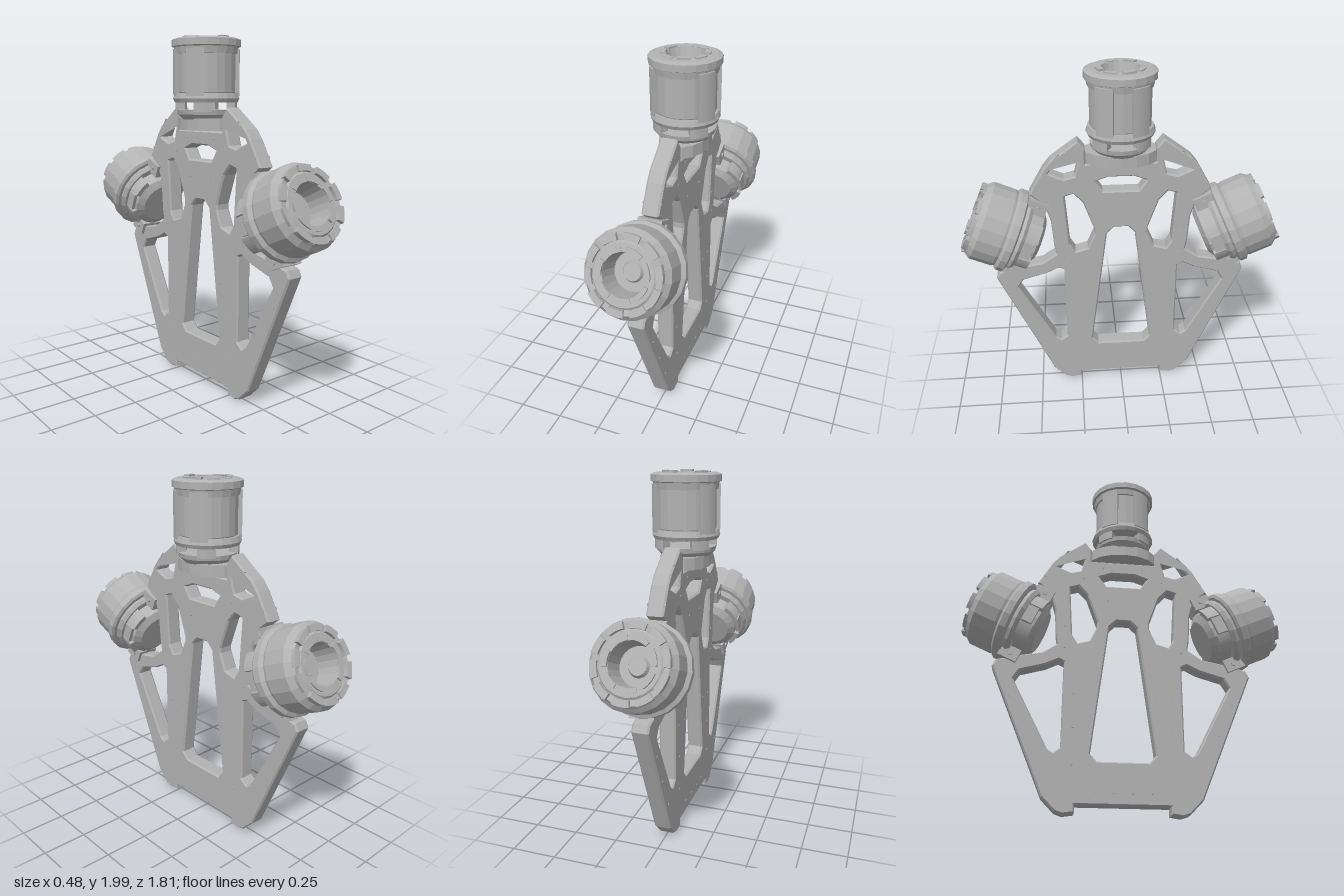
import * as THREE from 'three';

const grey = new THREE.MeshStandardMaterial({ color: 0xb2b2b2, flatShading: true });
grey.name = 'plain grey';

const V = (list) => list.map(([a, b]) => new THREE.Vector2(a, b));
const flip = (list) => list.map(([a, b]) => [-a, b]).reverse();

function add(parent, name, geometry, x = 0, y = 0, z = 0) {
  const mesh = new THREE.Mesh(geometry, grey);
  mesh.name = name;
  mesh.position.set(x, y, z);
  parent.add(mesh);
  return mesh;
}

// Solid of revolution; profile runs from the bottom axis up and round to the top
const lathe = (profile, sides = 20) => new THREE.LatheGeometry(V(profile), sides);

// Curved block between two radii, two heights and two angles (degrees)
function sector(r0, r1, y0, y1, from, to) {
  const a = THREE.MathUtils.degToRad(from), b = THREE.MathUtils.degToRad(to);
  const shape = new THREE.Shape();
  shape.absarc(0, 0, r1, a, b, false);
  shape.absarc(0, 0, r0, b, a, true);
  const g = new THREE.ExtrudeGeometry(shape, { depth: y1 - y0, bevelEnabled: false, curveSegments: 3 });
  return g.rotateX(-Math.PI / 2).translate(0, y0, 0);
}

// Four cage legs, leaving wide openings on z and narrow ones on x
function cageLegs(parent, name, r0, r1, y0, y1, from, to) {
  for (const [a, b] of [[from, to], [180 - to, 180 - from], [180 + from, 180 + to], [360 - to, 360 - from]])
    add(parent, name, sector(r0, r1, y0, y1, a, b));
}

// Raised segments round an end face
function rimSegments(parent, r0, r1, y0, y1, count) {
  for (let i = 0; i < count; i++) {
    const a = (i * 360) / count;
    add(parent, 'rimSegment', sector(r0, r1, y0, y1 - (i % 3) * 0.004, a, a + 260 / count));
  }
}

// Flat plate with lightening holes, drawn in the z-y plane
function makeFrame() {
  const frame = new THREE.Group();
  frame.name = 'frame';
  const half = [
    [0.25, 0.055], [0.25, 0.015], [0.31, 0.006], [0.35, 0.02], [0.42, 0.09],
    [0.72, 0.79], [0.70, 0.83], [0.58, 0.86], [0.45, 0.885], [0.37, 0.94],
    [0.38, 1.0], [0.39, 1.15], [0.41, 1.22], [0.44, 1.27], [0.50, 1.32],
    [0.42, 1.46], [0.38, 1.51], [0.23, 1.62], [0.19, 1.57], [0.19, 1.49],
  ];
  const shape = new THREE.Shape(V([...half, ...flip(half)]));
  const sideHoles = [
    [[0.60, 0.72], [0.40, 0.34], [0.37, 0.32], [0.33, 0.35], [0.33, 0.83], [0.36, 0.845], [0.43, 0.81], [0.57, 0.77]],
    [[0.31, 1.30], [0.26, 1.315], [0.21, 1.26], [0.15, 1.09], [0.15, 1.06], [0.19, 0.97], [0.26, 0.95], [0.29, 1.0]],
    [[0.39, 1.44], [0.33, 1.54], [0.23, 1.50], [0.25, 1.42], [0.31, 1.405]],
  ];
  const middleHoles = [
    [[0.14, 0.28], [0.175, 0.32], [0.08, 1.06], [0.04, 1.10]],
    [[0.10, 1.325], [0.14, 1.385], [0.07, 1.41]],
  ];
  for (const h of sideHoles) shape.holes.push(new THREE.Path(V(h)), new THREE.Path(V(flip(h))));
  for (const h of middleHoles) shape.holes.push(new THREE.Path(V([...h, ...flip(h)])));
  const g = new THREE.ExtrudeGeometry(shape, {
    depth: 0.074, bevelThickness: 0.01, bevelSize: 0.008, bevelOffset: -0.008, bevelSegments: 1,
  });
  g.translate(0, 0, -0.037).rotateY(-Math.PI / 2);
  add(frame, 'framePlate', g);

  // Fasteners on both faces
  const points = [[0.05, 0.12], [0.15, 0.12], [0.27, 0.26], [0.27, 0.46], [0.27, 0.65], [0.18, 0.65],
    [0.45, 0.26], [0.53, 0.44], [0.61, 0.62], [0.33, 0.92], [0.33, 1.05], [0.09, 1.23], [0.23, 1.37],
    [0.12, 1.45], [0.46, 1.37]];
  const pin = new THREE.CylinderGeometry(0.007, 0.007, 0.1, 6).rotateZ(Math.PI / 2);
  for (const [z, y] of points) for (const s of [-1, 1]) add(frame, 'fastener', pin, 0, y, s * z);
  return frame;
}

// Upright caged unit on the top of the frame
function makeTopUnit() {
  const unit = new THREE.Group();
  unit.name = 'topUnit';
  const base = add(unit, 'basePlate', new THREE.CylinderGeometry(0.2, 0.2, 0.065, 16), 0, 1.527, 0);
  base.scale.x = 0.66;
  add(unit, 'baseCollar', lathe([[0, 1.55], [0.13, 1.55], [0.16, 1.58], [0.165, 1.605], [0, 1.605]]));
  cageLegs(unit, 'strut', 0.12, 0.172, 1.595, 1.67, 28, 62);
  add(unit, 'core', lathe([[0, 1.655], [0.14, 1.655], [0.163, 1.70], [0.163, 1.93], [0, 1.93]]));
  add(unit, 'lowerRing', lathe([[0, 1.645], [0.175, 1.645], [0.185, 1.665], [0.175, 1.695], [0, 1.695]]));
  cageLegs(unit, 'cageLeg', 0.15, 0.184, 1.68, 1.93, 16, 48);
  add(unit, 'cap', lathe([[0, 1.905], [0.172, 1.905], [0.178, 1.94], [0.19, 1.945], [0.19, 1.98],
    [0.165, 1.99], [0.10, 1.99], [0.085, 1.94], [0.05, 1.94], [0.04, 1.95], [0, 1.95]]));
  rimSegments(unit, 0.10, 0.13, 1.985, 2.0, 8);
  return unit;
}

// Tilted unit on a shoulder, with its axis along local y and outer face at y = 0
function makeSideUnit() {
  const unit = new THREE.Group();
  unit.name = 'sideUnit';
  add(unit, 'housing', lathe([[0, -0.2], [0.215, -0.2], [0.225, -0.17], [0.225, -0.045], [0.205, -0.02],
    [0.195, -0.005], [0.165, -0.01], [0.155, 0.0], [0.11, 0.0], [0.10, -0.12], [0.055, -0.12],
    [0.045, -0.10], [0, -0.10]]));
  add(unit, 'flange', lathe([[0, -0.245], [0.225, -0.245], [0.24, -0.235], [0.24, -0.2], [0.22, -0.185], [0, -0.185]]));
  add(unit, 'innerCollar', lathe([[0, -0.285], [0.20, -0.285], [0.215, -0.265], [0.205, -0.24], [0, -0.24]]));
  add(unit, 'innerCore', lathe([[0, -0.385], [0.12, -0.385], [0.16, -0.36], [0.17, -0.27], [0, -0.27]]));
  cageLegs(unit, 'innerLeg', 0.13, 0.187, -0.36, -0.27, 18, 50);
  rimSegments(unit, 0.165, 0.20, -0.02, 0.012, 10);
  rimSegments(unit, 0.11, 0.135, -0.01, 0.012, 7);
  // Mounting feet that join the frame
  for (const s of [-1, 1]) {
    add(unit, 'mountFoot', new THREE.BoxGeometry(0.13, 0.11, 0.075), 0, -0.295, s * 0.208);
    for (const x of [-0.068, 0.068])
      add(unit, 'footBolt', new THREE.CylinderGeometry(0.014, 0.014, 0.012, 6).rotateZ(Math.PI / 2), x, -0.30, s * 0.21);
  }
  // Raised window panels on either side of the inner body
  for (const s of [-1, 1])
    add(unit, 'sidePanel', new THREE.BoxGeometry(0.02, 0.06, 0.1), s * 0.172, -0.315, 0);
  unit.position.set(0, 1.175, 0.815);
  unit.rotation.x = THREE.MathUtils.degToRad(66);
  return unit;
}

export function createModel() {
  const model = new THREE.Group();
  model.name = 'model';
  model.add(makeFrame(), makeTopUnit());
  for (const [name, turn] of [['frontShoulder', 0], ['backShoulder', Math.PI]]) {
    const shoulder = new THREE.Group();
    shoulder.name = name;
    shoulder.add(makeSideUnit());
    shoulder.rotation.y = turn;
    model.add(shoulder);
  }
  return model;
}
